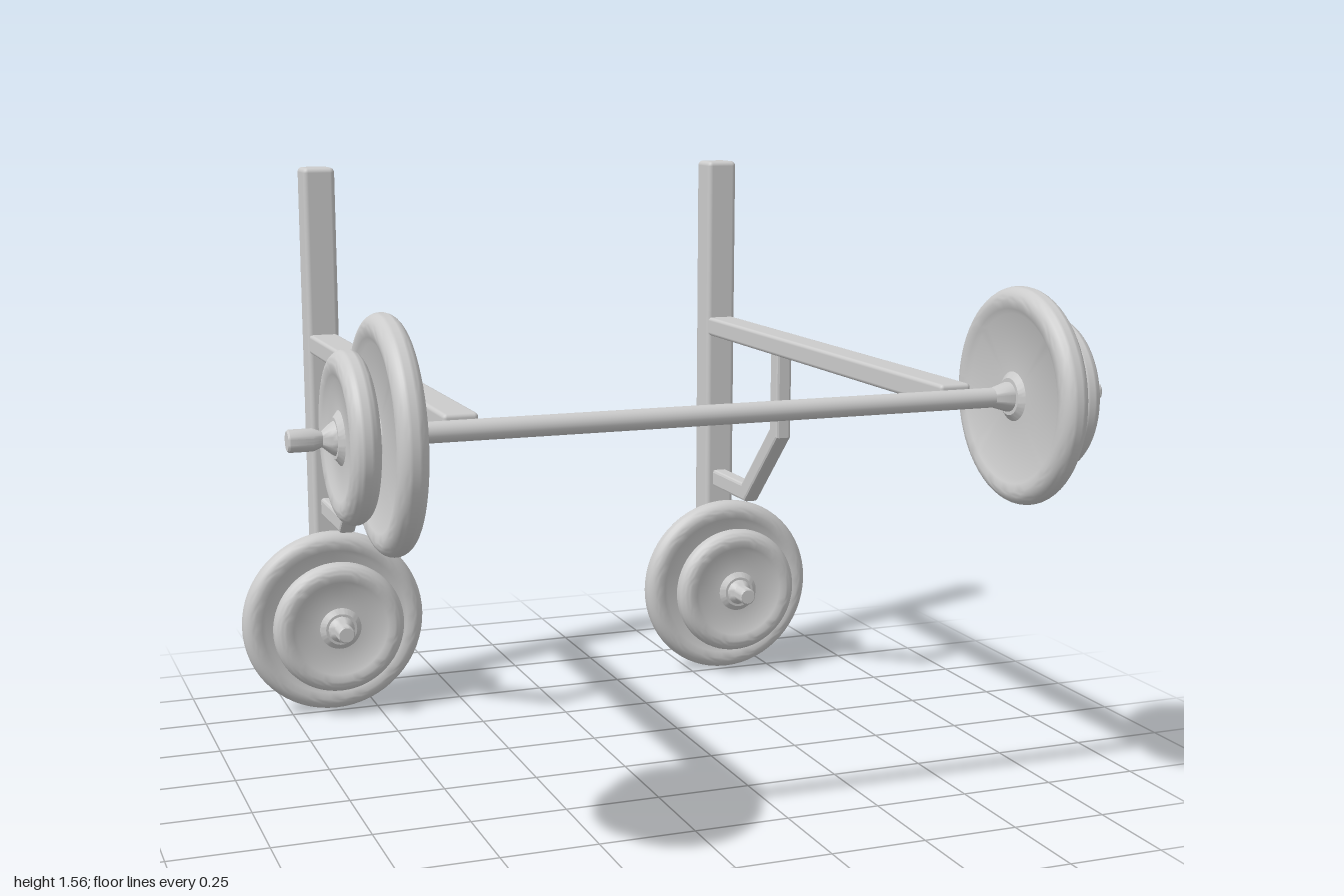
import * as THREE from 'three';
import { toCreasedNormals } from 'three/addons/utils/BufferGeometryUtils.js';
import { RoundedBoxGeometry } from 'three/addons/geometries/RoundedBoxGeometry.js';

const material = new THREE.MeshStandardMaterial({ color: 0xcccccc });

function part(name, geometry, parent, x = 0, y = 0, z = 0) {
  const mesh = new THREE.Mesh(geometry, material);
  mesh.name = name;
  mesh.position.set(x, y, z);
  parent.add(mesh);
  return mesh;
}

// Lathe from [radius, height] pairs, listed from bottom to top
function lathe(points, segments = 48) {
  const profile = points.map(([r, h]) => new THREE.Vector2(r, h));
  return toCreasedNormals(new THREE.LatheGeometry(profile, segments), 0.6);
}

// Weight plate: thin web, thick rounded rim and a raised hub
function plateGeometry(radius, half, web) {
  const upper = [];
  const inner = radius - 0.065;
  for (let i = 0; i <= 8; i++) {
    const a = (i / 8) * Math.PI / 2;
    upper.push([radius - half + half * Math.cos(a), half * Math.sin(a)]);
  }
  upper.push([inner + 0.012, half - 0.004], [inner, web], [0.06, web], [0.045, half], [0, half]);
  const lower = upper.slice(1).reverse().map(([r, h]) => [r, -h]);
  return lathe([...lower, ...upper], 64);
}

// Two plates on a pin; local +y points outwards, y = 0 is the big plate
function plateStack(name, smallOffset, pinEnd) {
  const stack = new THREE.Group();
  stack.name = name;
  part('bigPlate', plateGeometry(0.265, 0.034, 0.022), stack);
  part('smallPlate', plateGeometry(0.19, 0.033, 0.021), stack, 0, smallOffset);
  part('innerCollar', lathe([[0, -0.085], [0.022, -0.085], [0.036, -0.04], [0.036, 0], [0, 0]], 24), stack);
  part('hub', new THREE.CylinderGeometry(0.05, 0.05, smallOffset, 24), stack, 0, smallOffset / 2);
  const face = smallOffset + 0.03;
  part('endPin', lathe([
    [0, face], [0.04, face], [0.032, face + 0.012], [0.017, face + 0.03],
    [0.025, pinEnd - 0.055], [0.025, pinEnd - 0.004], [0.021, pinEnd], [0, pinEnd],
  ], 24), stack);
  return stack;
}

// Bent brace outlined in the z-y plane, with mitred corners
function braceGeometry() {
  const centre = [[-0.375, 1.07], [-0.375, 0.815], [-0.588, 0.6], [-0.84, 0.6]]
    .map(([z, y]) => new THREE.Vector2(z, y));
  const bevel = 0.008;
  const half = 0.026 - bevel;
  const normal = (a, b) => {
    const d = b.clone().sub(a).normalize();
    return new THREE.Vector2(-d.y, d.x);
  };
  const left = [], right = [];
  centre.forEach((p, i) => {
    const n1 = normal(centre[Math.max(i - 1, 0)], centre[Math.max(i, 1)]);
    const n2 = normal(centre[Math.min(i, 2)], centre[Math.min(i + 1, 3)]);
    const m = n1.clone().add(n2).normalize();
    m.multiplyScalar(half / m.dot(n1));
    left.push(p.clone().add(m));
    right.unshift(p.clone().sub(m));
  });
  const depth = 0.03;
  const geometry = new THREE.ExtrudeGeometry(new THREE.Shape([...left, ...right]), {
    depth, bevelSize: bevel, bevelThickness: bevel, bevelSegments: 2,
  });
  geometry.translate(0, 0, -depth / 2);
  geometry.rotateY(-Math.PI / 2); // shape x becomes z
  return geometry;
}

export function createModel() {
  const model = new THREE.Group();
  model.name = 'barbellRack';
  const barY = 1.065, barZ = 0.64;

  // Long bar between the raised plates
  const bar = part('bar', new THREE.CylinderGeometry(0.024, 0.024, 1.46, 24), model, 0, barY, barZ);
  bar.rotation.z = Math.PI / 2;

  for (const side of [-1, 1]) {
    const frame = new THREE.Group();
    frame.name = side > 0 ? 'leftFrame' : 'rightFrame';
    model.add(frame);
    const x = side * 0.613;

    // Upright, arm and brace
    part('upright', new RoundedBoxGeometry(0.09, 1.51, 0.095, 3, 0.014), frame, x, 0.815, -0.863);
    part('arm', new RoundedBoxGeometry(0.082, 0.055, 1.47, 2, 0.01), frame, x, 1.073, -0.107);
    part('brace', braceGeometry(), frame, x);

    // Plates stored on the foot of the upright
    const stored = plateStack('storedPlates', 0.08, 0.18);
    stored.position.set(side * 0.618, 0.271, -0.779);
    stored.rotation.x = Math.PI / 2;
    frame.add(stored);

    // Plates loaded on the bar end
    const loaded = plateStack('barPlates', 0.081, 0.216);
    loaded.position.set(side * 0.784, barY, barZ);
    loaded.rotation.z = -side * Math.PI / 2;
    frame.add(loaded);
  }
  return model;
}
